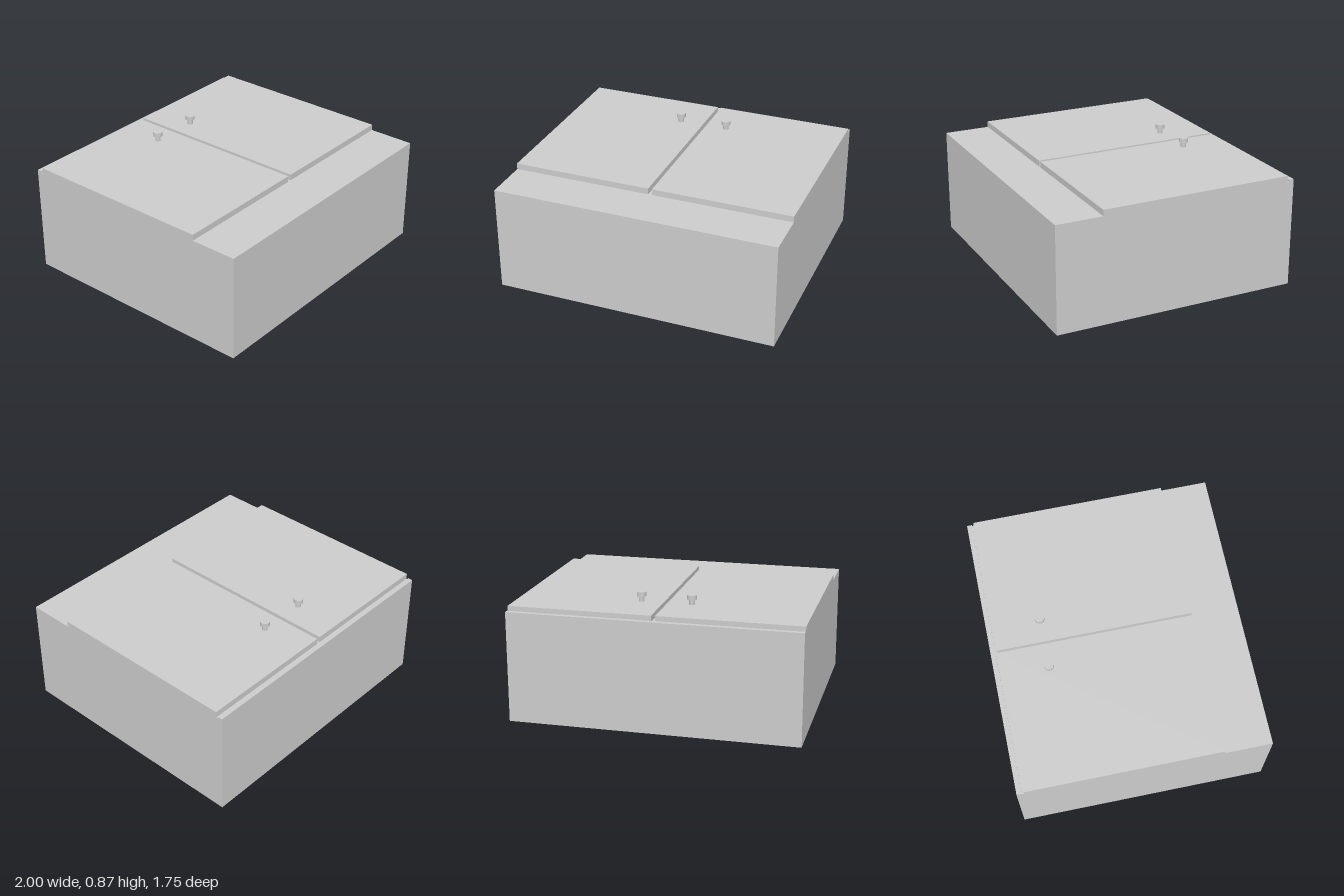
import * as THREE from 'three';

const material = new THREE.MeshStandardMaterial({ color: 0xcccccc });

// Box given by its minimum and maximum corners
function box(name, [x0, y0, z0], [x1, y1, z1]) {
  const mesh = new THREE.Mesh(new THREE.BoxGeometry(x1 - x0, y1 - y0, z1 - z0), material);
  mesh.name = name;
  mesh.position.set((x0 + x1) / 2, (y0 + y1) / 2, (z0 + z1) / 2);
  return mesh;
}

// Round knob with a thin stem and a wide flat head
function knob(name, x, y, z) {
  const group = new THREE.Group();
  group.name = name;
  for (const [part, radius, bottom, top] of [['stem', 0.019, 0, 0.037], ['head', 0.033, 0.037, 0.068]]) {
    const mesh = new THREE.Mesh(new THREE.CylinderGeometry(radius, radius, top - bottom, 32), material);
    mesh.name = part;
    mesh.position.y = (bottom + top) / 2;
    group.add(mesh);
  }
  group.position.set(x, y, z);
  return group;
}

export function createModel() {
  const model = new THREE.Group();
  model.name = 'cabinet';
  const bodyTop = 0.757, doorTop = 0.8, depth = 0.873;

  // Carcass and the narrow raised strip along the back edge
  model.add(box('body', [-1, 0, -depth], [1, bodyTop, depth]));
  model.add(box('edgeStrip', [-1, bodyTop, -depth], [1, 0.77, -0.838]));

  // Two door panels with a slim gap between them, one knob each
  const doors = [['rightDoor', -1, -0.015, -0.184], ['leftDoor', 0.012, 1, 0.165]];
  for (const [name, x0, x1, knobX] of doors) {
    model.add(box(name, [x0, bodyTop, -0.824], [x1, doorTop, 0.543]));
    model.add(knob(name + 'Knob', knobX, doorTop, -0.497));
  }
  return model;
}
